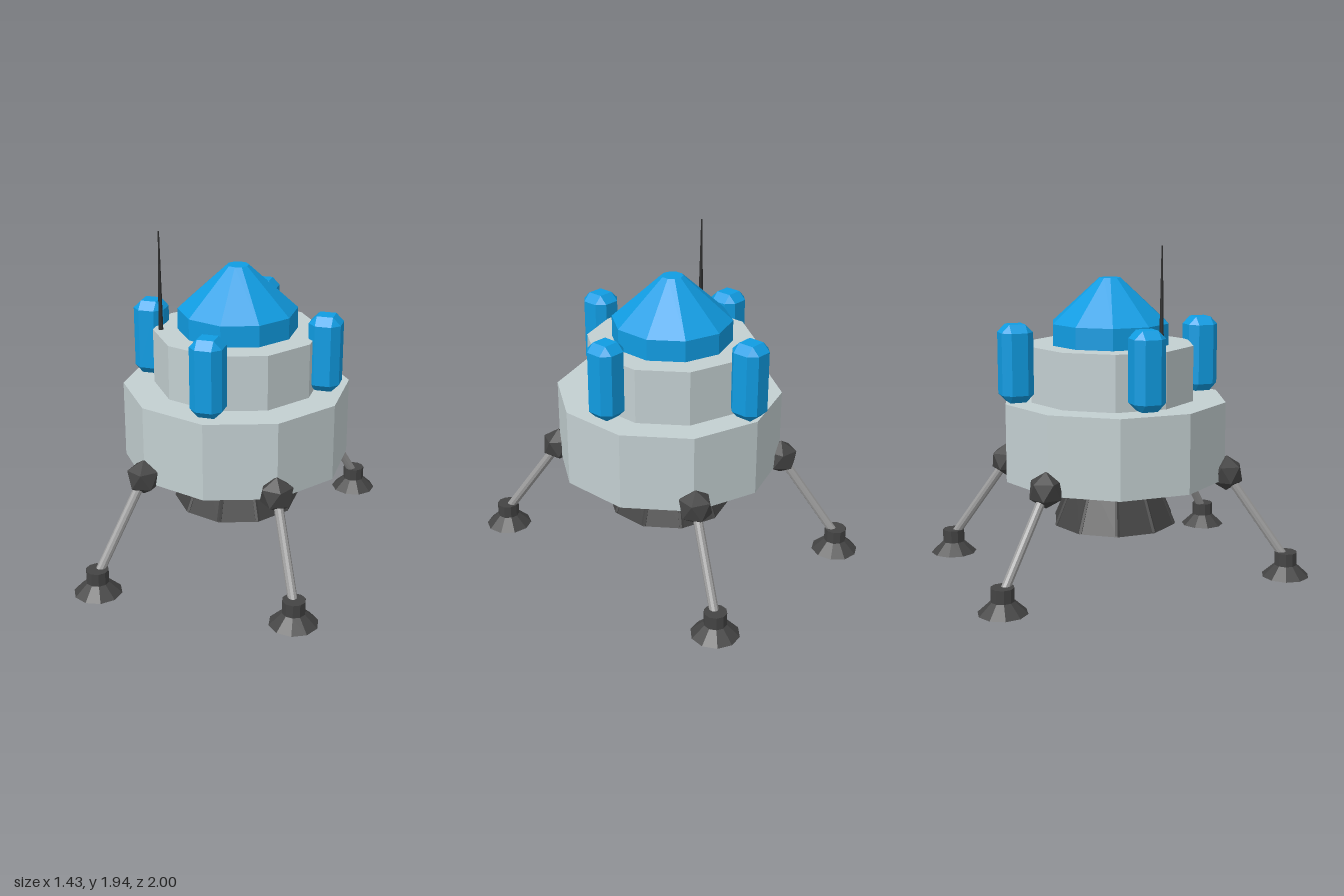
import * as THREE from 'three';
import { ConvexGeometry } from 'three/addons/geometries/ConvexGeometry.js';

const material = (name, color) => {
  const m = new THREE.MeshStandardMaterial({ color });
  m.name = name;
  return m;
};

// Give every face its own normal for the faceted look
function facet(geometry) {
  const g = geometry.index ? geometry.toNonIndexed() : geometry;
  g.computeVertexNormals();
  return g;
}

// Ten-sided turned body from [radius, height] pairs
const turned = (profile) =>
  new THREE.LatheGeometry(profile.map(([r, y]) => new THREE.Vector2(r, y)), 10);

// Upright block with all edges and corners chamfered
function chamferedBlock(hx, hy, hz, c) {
  const points = [];
  for (const sx of [-1, 1]) for (const sy of [-1, 1]) for (const sz of [-1, 1]) {
    points.push(
      new THREE.Vector3(sx * hx, sy * (hy - c), sz * (hz - c)),
      new THREE.Vector3(sx * (hx - c), sy * hy, sz * (hz - c)),
      new THREE.Vector3(sx * (hx - c), sy * (hy - c), sz * hz));
  }
  return new ConvexGeometry(points);
}

// Cylinder running between two points
function rod(a, b, rA, rB, sides) {
  const dir = b.clone().sub(a);
  const g = new THREE.CylinderGeometry(rB, rA, dir.length(), sides);
  g.applyQuaternion(new THREE.Quaternion().setFromUnitVectors(
    new THREE.Vector3(0, 1, 0), dir.clone().normalize()));
  const mid = a.clone().add(b).multiplyScalar(0.5);
  return g.translate(mid.x, mid.y, mid.z);
}

export function createModel() {
  const hull = material('pale hull grey', 0xc3cfd1);
  const blue = material('bright blue', 0x109ce2);
  const dark = material('dark grey', 0x444444);
  const steel = material('strut grey', 0x9c9c9c);
  const black = material('antenna black', 0x2e2e2e);

  const model = new THREE.Group();
  model.name = 'lander';
  const add = (name, geometry, mat, parent = model) => {
    const mesh = new THREE.Mesh(facet(geometry), mat);
    mesh.name = name;
    parent.add(mesh);
    return mesh;
  };

  // Two-tier body, open underneath above the nozzle throat
  add('lowerHull', turned([[0.225, 0.57], [0.67, 0.57], [0.67, 1.03], [0, 1.03]]), hull);
  add('upperHull', turned([[0.494, 1.03], [0.494, 1.355], [0, 1.355]]), hull)
    .position.z = -0.02;

  // Cabin roof
  add('dome', turned([[0.352, 1.355], [0.352, 1.48], [0.064, 1.74], [0, 1.74]]), blue)
    .position.z = -0.027;

  // Thick-walled engine bell with a thin rib on each corner
  add('nozzle', turned([[0.225, 0.57], [0.34, 0.275], [0.373, 0.275], [0.248, 0.57]]), dark);
  for (let i = 0; i < 10; i++) {
    const rib = rod(new THREE.Vector3(0, 0.277, 0.363), new THREE.Vector3(0, 0.57, 0.239),
      0.016, 0.012, 6);
    rib.rotateY(i * Math.PI / 5);
    add('nozzleRib', rib, dark);
  }

  // Four tanks around the upper hull
  for (const [x, z] of [[0.53, -0.01], [-0.53, -0.01], [0, 0.555], [0, -0.605]]) {
    add('tank', chamferedBlock(0.093, 0.225, 0.093, 0.046), blue).position.set(x, 1.267, z);
  }

  // Tapered antenna
  add('antenna', new THREE.CylinderGeometry(0.004, 0.015, 0.585, 8), black)
    .position.set(-0.425, 1.6475, 0.12);

  // Four legs: joint, strut and foot
  for (const sx of [1, -1]) for (const sz of [1, -1]) {
    const leg = new THREE.Group();
    leg.name = (sz > 0 ? 'front' : 'back') + (sx > 0 ? 'Left' : 'Right') + 'Leg';
    model.add(leg);

    const knee = new THREE.Vector3(sx * 0.393, 0.608, sz * 0.555);
    const ankle = new THREE.Vector3(sx * 0.575, 0.1, sz * 0.863);

    const ball = new THREE.IcosahedronGeometry(0.105, 0);
    ball.rotateZ(Math.atan(2 / (1 + Math.sqrt(5))));
    ball.rotateY(Math.atan2(sx, sz));
    add('legJoint', ball, dark, leg).position.copy(knee);

    add('strut', rod(ankle, knee, 0.027, 0.027, 10), steel, leg);

    const foot = add('foot', turned(
      [[0, 0], [0.14, 0], [0.066, 0.068], [0.066, 0.145], [0, 0.145]]), dark, leg);
    foot.position.set(ankle.x, 0, ankle.z);
    foot.rotation.y = sx * sz * 0.15;
  }

  return model;
}
